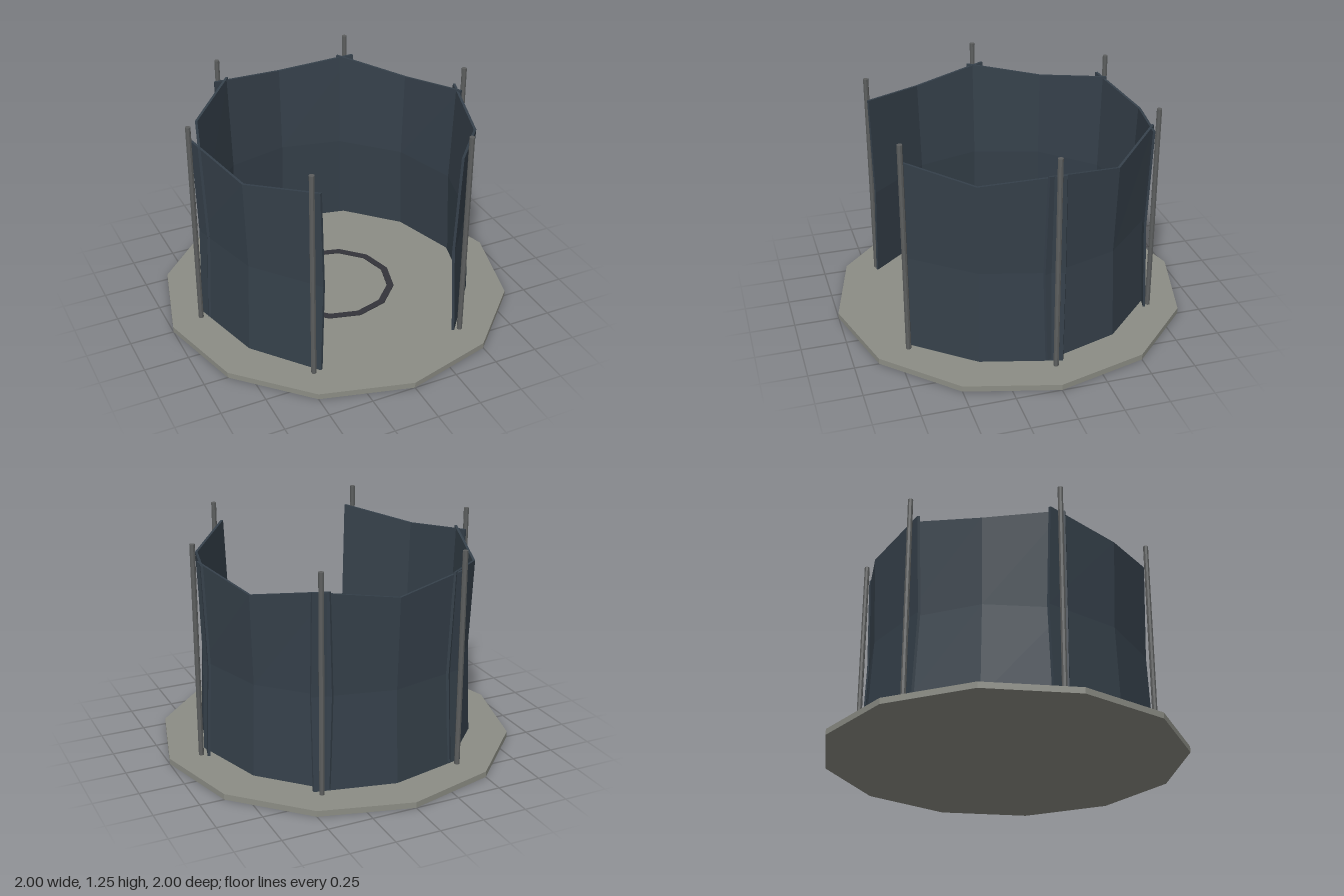
import * as THREE from 'three';

const flat = (color) => new THREE.MeshStandardMaterial({ color, flatShading: true });

export function createModel() {
  const model = new THREE.Group();
  const stone = flat(0x8c8d85), cloth = flat(0x35404a), metal = flat(0x5c5e5e), dark = flat(0x33343a);
  const add = (name, geometry, material, x = 0, y = 0, z = 0) => {
    const mesh = new THREE.Mesh(geometry, material);
    mesh.name = name;
    mesh.position.set(x, y, z);
    model.add(mesh);
    return mesh;
  };

  // Twelve-sided floor slab
  add('floor', new THREE.CylinderGeometry(1, 1, 0.033, 12), stone, 0, 0.0165, 0);

  // Thin ring set into the floor
  const polygon = (Type, r) => new Type().setFromPoints(
    Array.from({ length: 12 }, (_, i) => new THREE.Vector2(r * Math.cos(i * Math.PI / 6), r * Math.sin(i * Math.PI / 6))));
  const ringShape = polygon(THREE.Shape, 0.35);
  ringShape.holes.push(polygon(THREE.Path, 0.31));
  const ringGeometry = new THREE.ExtrudeGeometry(ringShape, { depth: 0.012, bevelEnabled: false });
  add('floorRing', ringGeometry.rotateX(-Math.PI / 2), dark, 0, 0.026, 0);

  // Hanging sheet through three plan points [x, z]; sags at the top and pinches in at mid height
  const sheet = (name, points, bottom, sag) => {
    const [a, , c] = points;
    const chord = Math.hypot(c[0] - a[0], c[1] - a[1]);
    const nx = -(c[1] - a[1]) / chord, nz = (c[0] - a[0]) / chord;
    const geometry = new THREE.BoxGeometry(2, 2, 2, 2, 2, 1);
    const pos = geometry.attributes.position;
    for (let i = 0; i < pos.count; i++) {
      const u = Math.round(pos.getX(i)), v = Math.round(pos.getY(i));
      const [x, z] = points[u + 1];
      const off = pos.getZ(i) * 0.007 + [0.004, -0.02, 0][v + 1];
      const top = u === 0 ? sag : 1.14;
      const y = v === 1 ? top : v === -1 ? bottom : 0.57;
      pos.setXYZ(i, x + nx * off, y, z + nz * off);
    }
    geometry.computeVertexNormals();
    add(name, geometry, cloth);
  };
  const mirrored = (points) => points.map(([x, z]) => [-x, z]).reverse();

  sheet('backSheet', [[0.44, -0.68], [0, -0.778], [-0.44, -0.68]], 0.04, 1.08);
  const rear = [[0.785, 0.02], [0.655, -0.4], [0.352, -0.71]];
  const front = [[0.4, 0.695], [0.677, 0.357], [0.793, -0.075]];
  sheet('leftRearSheet', rear, 0.05, 1.07);
  sheet('rightRearSheet', mirrored(rear), 0.05, 1.07);
  sheet('leftFrontSheet', front, 0.038, 1.08);
  sheet('rightFrontSheet', mirrored(front), 0.038, 1.08);

  // Upright poles outside the sheet joints
  for (const [x, z] of [[0.448, 0.692], [0.824, -0.025], [0.405, -0.718]]) {
    for (const side of [1, -1]) {
      add('pole', new THREE.CylinderGeometry(0.015, 0.015, 1.222, 8), metal, side * x, 0.641, z);
    }
  }
  return model;
}
